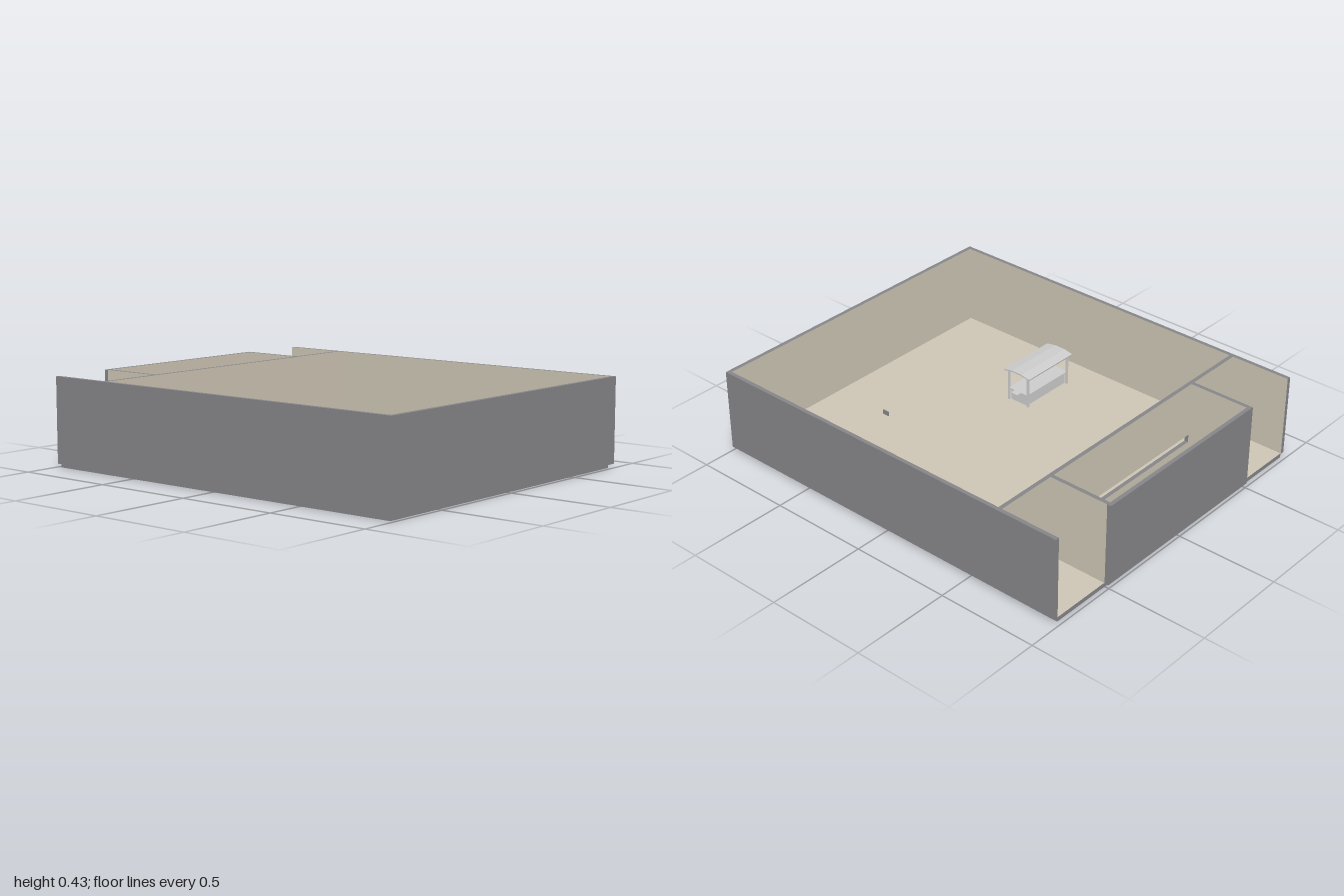
import * as THREE from 'three';

const shellMat = new THREE.MeshStandardMaterial({ color: 0x858588 });
const liningMat = new THREE.MeshStandardMaterial({ color: 0xccc4b4 });
const greyMat = new THREE.MeshStandardMaterial({ color: 0xcccccc });

const BASE = 0.02, TOP = 0.43, T = 0.02;

// Box given by its minimum and maximum on each axis
function box(parent, name, [x0, x1], [y0, y1], [z0, z1], material) {
  const mesh = new THREE.Mesh(new THREE.BoxGeometry(x1 - x0, y1 - y0, z1 - z0), material);
  mesh.position.set((x0 + x1) / 2, (y0 + y1) / 2, (z0 + z1) / 2);
  mesh.name = name;
  parent.add(mesh);
  return mesh;
}

// Wall whose pale sides are listed as box faces: 0 +x, 1 -x, 4 +z, 5 -z
function wall(parent, name, xs, ys, zs, paleSides) {
  const materials = Array.from({ length: 6 }, (_, i) => paleSides.includes(i) ? liningMat : shellMat);
  return box(parent, name, xs, ys, zs, materials);
}

export function createModel() {
  const model = new THREE.Group();
  model.name = 'openRoom';
  const full = [BASE, TOP];

  // Floor slab, set in slightly under the walls
  const floor = [shellMat, shellMat, liningMat, shellMat, shellMat, shellMat];
  box(model, 'floor', [-0.815, 0.815], [0, BASE + 0.002], [-0.978, 0.98], floor);

  // Outer walls of the main room
  wall(model, 'frontWall', [-0.835, 0.835], full, [1 - T, 1], [5]);
  wall(model, 'rightWall', [-0.835, -0.835 + T], full, [-0.98, 1 - T], [0]);
  wall(model, 'leftWall', [0.835 - T, 0.835], full, [-0.98, 1 - T], [1]);

  // Cross wall with a long low slot into the alcove
  const cross = new THREE.Group();
  cross.name = 'crossWall';
  model.add(cross);
  const zs = [-0.675, -0.655];
  wall(cross, 'crossWallRight', [-0.815, -0.49], full, zs, [4, 5]);
  wall(cross, 'crossWallLeft', [0.49, 0.815], full, zs, [4, 5]);
  wall(cross, 'slotHeader', [-0.49, 0.49], [0.155, TOP], zs, [4, 5]);
  wall(cross, 'slotSill', [-0.49, 0.49], [BASE, 0.115], zs, [4, 5]);

  // Alcove at the back
  const alcove = new THREE.Group();
  alcove.name = 'alcove';
  model.add(alcove);
  wall(alcove, 'alcoveBackWall', [-0.51, 0.505], full, [-1, -1 + T], [4]);
  wall(alcove, 'alcoveRightWall', [-0.51, -0.49], full, [-1 + T, -0.675], [0, 1]);
  wall(alcove, 'alcoveLeftWall', [0.485, 0.505], full, [-1 + T, -0.675], [0, 1]);

  // Stall: counter, corner posts and a roof of three boards
  const stall = new THREE.Group();
  stall.name = 'stall';
  model.add(stall);
  box(stall, 'counter', [-0.635, -0.35], [BASE, 0.08], [0.19, 0.29], greyMat);
  box(stall, 'counterTop', [-0.645, -0.34], [0.08, 0.088], [0.18, 0.3], greyMat);
  box(stall, 'endLedge', [-0.34, -0.312], [0.08, 0.088], [0.22, 0.26], greyMat);
  for (const x of [-0.64, -0.345])
    for (const z of [0.18, 0.3])
      box(stall, 'post', [x - 0.005, x + 0.005], [BASE, 0.186], [z - 0.005, z + 0.005], greyMat);
  box(stall, 'roofMiddle', [-0.655, -0.33], [0.192, 0.2], [0.212, 0.268], greyMat);
  for (const side of [-1, 1]) {
    const board = box(stall, 'roofSlope', [-0.655, -0.33], [0.187, 0.195],
      side < 0 ? [0.16, 0.213] : [0.267, 0.32], greyMat);
    board.rotation.x = side * 0.18;
  }

  // Small thin marker standing on the floor
  box(model, 'marker', [0.157, 0.163], [BASE, 0.045], [0.632, 0.667], shellMat);

  return model;
}
